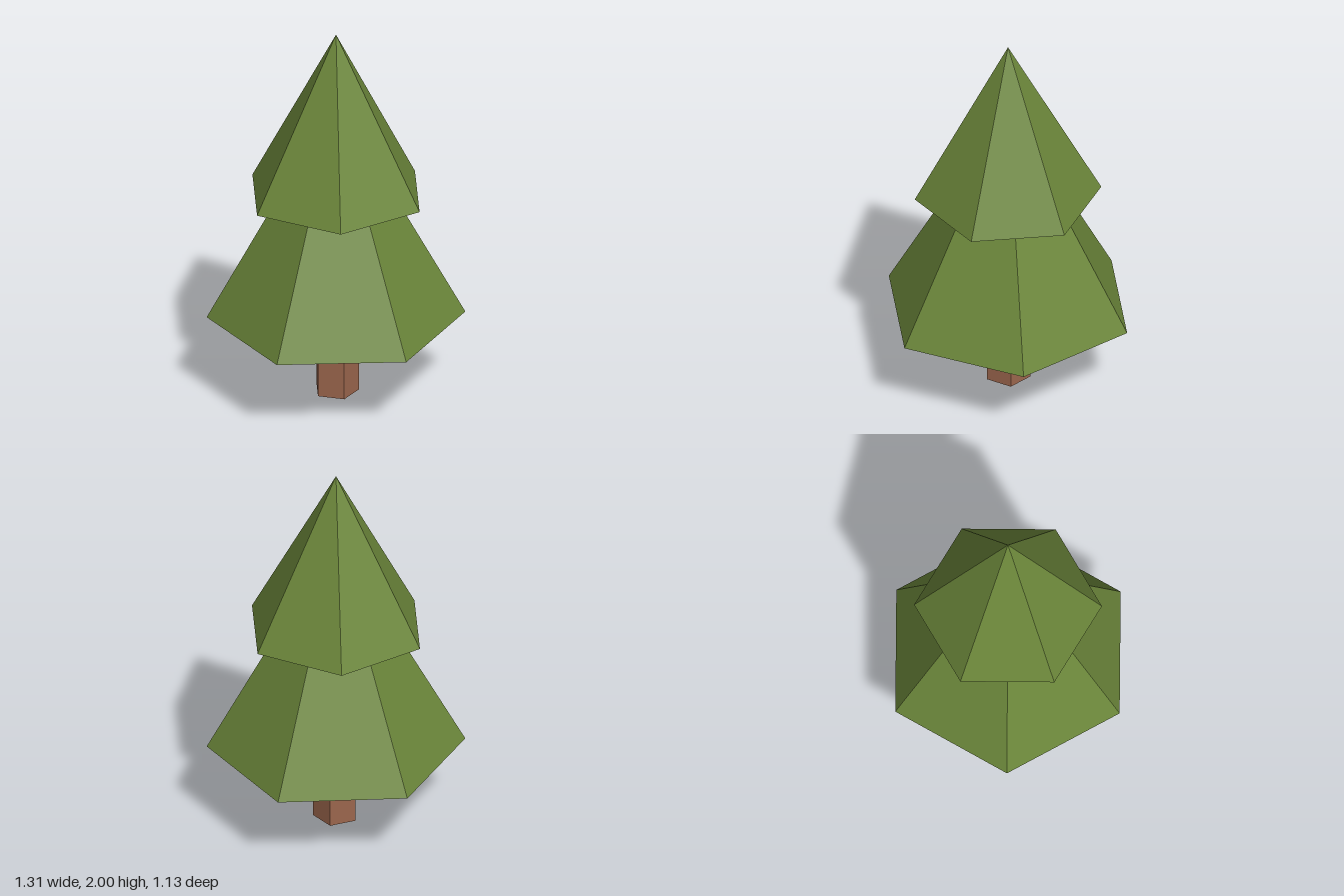
import * as THREE from 'three';

const foliageGreen = new THREE.MeshStandardMaterial({ name: 'foliageGreen', color: 0x6b863a });
const barkBrown = new THREE.MeshStandardMaterial({ name: 'barkBrown', color: 0x9b664d });

// Faceted cone or prism standing on height y; the first corner points along thetaStart
function facetedPart(name, material, topRadius, bottomRadius, y, height, sides, thetaStart) {
  const indexed = new THREE.CylinderGeometry(topRadius, bottomRadius, height, sides, 1, false, thetaStart);
  const geometry = indexed.toNonIndexed();
  geometry.computeVertexNormals(); // flat facets
  geometry.translate(0, y + height / 2, 0);
  const mesh = new THREE.Mesh(geometry, material);
  mesh.name = name;
  return mesh;
}

export function createModel() {
  const tree = new THREE.Group();
  tree.name = 'pineTree';
  tree.add(
    // five-sided trunk with a corner towards +x
    facetedPart('trunk', barkBrown, 0.117, 0.117, 0, 0.45, 5, Math.PI / 2),
    // six-sided foliage tiers, turned against each other
    facetedPart('lowerFoliage', foliageGreen, 0, 0.655, 0.425, 1.205, 6, Math.PI / 2),
    facetedPart('upperFoliage', foliageGreen, 0, 0.475, 1.107, 0.893, 6, 0),
  );
  return tree;
}
